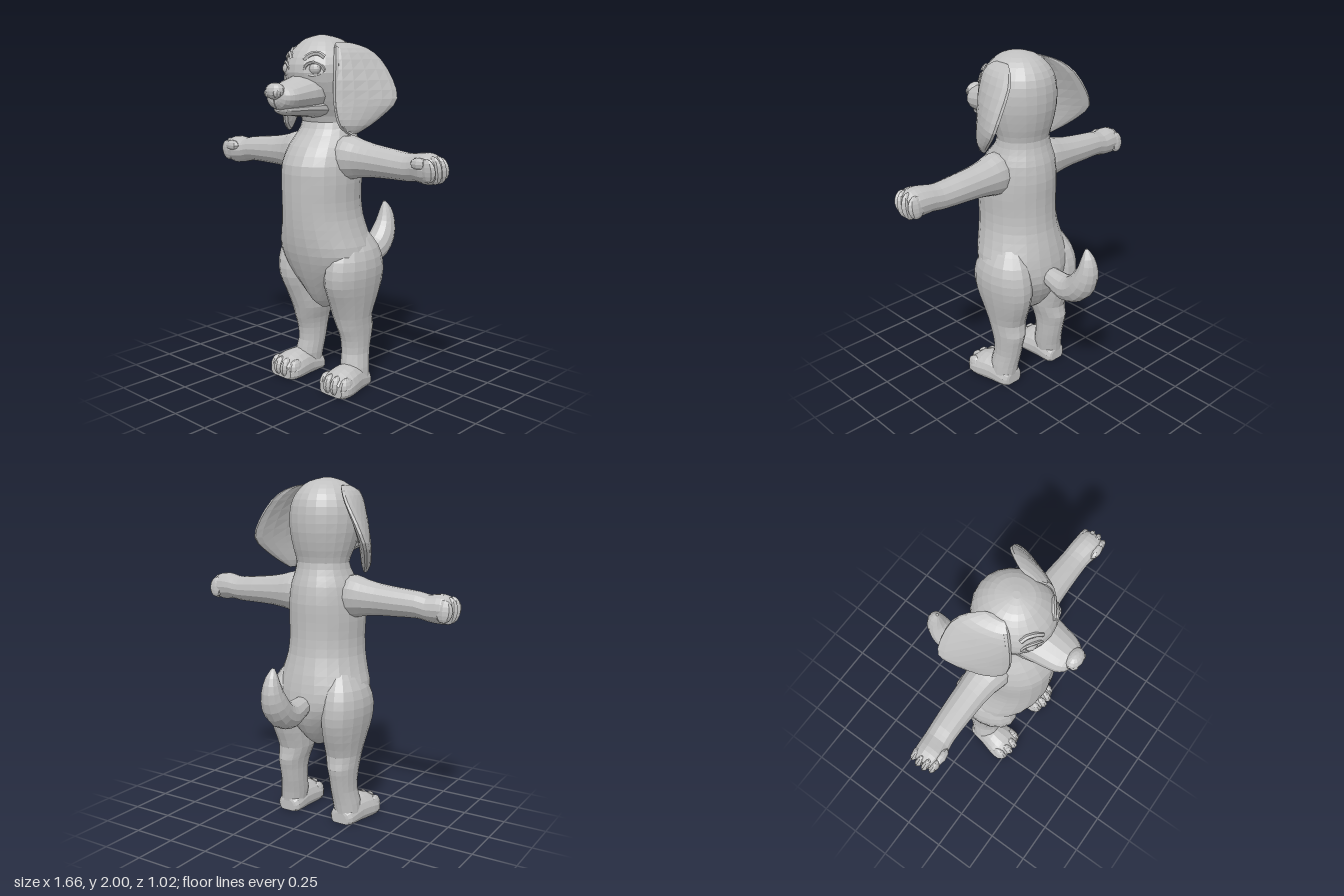
import * as THREE from 'three';

const V = (x, y, z) => new THREE.Vector3(x, y, z);
const SIDES = [['left', 1], ['right', -1]];

// Catmull-Rom subdivision of number rows
function smooth(rows, n) {
  const out = [];
  for (let i = 0; i < rows.length - 1; i++) {
    const [a, b, c, d] = [-1, 0, 1, 2].map(k => rows[Math.min(rows.length - 1, Math.max(0, i + k))]);
    for (let s = 0; s < n; s++) {
      const t = s / n;
      out.push(b.map((_, k) => b[k] + 0.5 * t * (c[k] - a[k] + t * (2 * a[k] - 5 * b[k] + 4 * c[k] - d[k]
        + t * (3 * (b[k] - c[k]) + d[k] - a[k])))));
    }
  }
  out.push(rows[rows.length - 1]);
  return out;
}

// Facet a geometry
function flat(g) {
  const f = g.index ? g.toNonIndexed() : g;
  f.computeVertexNormals();
  return f;
}

// Skin over elliptical sections [centre, u axis, v axis]; side = -1 mirrors in x
function loft(sections, { seg = 16, n = 2, side = 1, floor = false } = {}) {
  const rows = smooth(sections.map(s => s.flatMap(v => v.toArray())), n);
  const secs = rows.map(r => [0, 3, 6].map(k => V(r[k] * side, r[k + 1], r[k + 2])));
  const dir = secs[1][0].clone().sub(secs[0][0]);
  const flip = secs[0][1].clone().cross(secs[0][2]).dot(dir) < 0 ? -1 : 1;
  const pos = [], idx = [];
  const put = p => pos.push(p.x, floor ? Math.max(0, p.y) : p.y, p.z);
  for (const [c, u, v] of secs) {
    for (let j = 0; j < seg; j++) {
      const a = (j + 0.5) / seg * Math.PI * 2;
      put(c.clone().addScaledVector(u, Math.cos(a)).addScaledVector(v, flip * Math.sin(a)));
    }
  }
  const first = pos.length / 3, top = (secs.length - 1) * seg;
  put(secs[0][0]);
  put(secs[secs.length - 1][0]);
  for (let j = 0; j < seg; j++) {
    const k = (j + 1) % seg;
    for (let i = 0; i < top; i += seg) idx.push(i + j, i + k, i + seg + k, i + j, i + seg + k, i + seg + j);
    idx.push(first, k, j, first + 1, top + j, top + k);
  }
  const g = new THREE.BufferGeometry();
  g.setAttribute('position', new THREE.Float32BufferAttribute(pos, 3));
  g.setIndex(idx);
  return flat(g);
}

// Section makers: upright parts, parts along z, parts along x
const upright = ([y, x, hw, zf, zb]) => [V(x, y, (zf + zb) / 2), V(hw, 0, 0), V(0, 0, (zf - zb) / 2)];
const alongZ = ([z, x, hw, y0, y1]) => [V(x, (y0 + y1) / 2, z), V(hw, 0, 0), V(0, (y1 - y0) / 2, 0)];
const alongX = ([x, y, hy, z, hz]) => [V(x, y, z), V(0, hy, 0), V(0, 0, hz)];

export function createModel() {
  const model = new THREE.Group();
  model.name = 'standingPuppy';
  const grey = new THREE.MeshStandardMaterial({ color: 0xc0c0c0 });
  grey.name = 'softGrey';

  const add = (name, geometry) => {
    const m = new THREE.Mesh(geometry, grey);
    m.name = name;
    model.add(m);
    return m;
  };
  const ball = (name, p, r, w = 12, h = 8) => {
    const m = add(name, flat(new THREE.SphereGeometry(1, w, h)));
    m.position.set(...p);
    m.scale.set(...r);
    return m;
  };
  const cord = (name, pts, r, n = 10) =>
    add(name, flat(new THREE.TubeGeometry(new THREE.CatmullRomCurve3(pts.map(p => V(...p))), n, r, 6)));

  // Torso, neck and skull in one skin: y, x, half width, front z, back z
  add('torsoAndHead', loft([
    [0.45, 0, 0.03, 0.12, 0.0], [0.50, 0, 0.08, 0.18, -0.07], [0.60, 0, 0.16, 0.24, -0.14],
    [0.70, 0, 0.25, 0.285, -0.175], [0.80, 0, 0.285, 0.32, -0.17], [0.90, 0, 0.255, 0.34, -0.15],
    [1.00, 0, 0.227, 0.35, -0.125], [1.10, 0, 0.218, 0.355, -0.115], [1.20, 0, 0.222, 0.356, -0.115],
    [1.30, 0, 0.218, 0.35, -0.118], [1.40, 0, 0.20, 0.295, -0.105], [1.46, 0, 0.175, 0.24, -0.085],
    [1.53, 0, 0.158, 0.20, -0.07], [1.60, 0, 0.178, 0.235, -0.09], [1.70, 0, 0.203, 0.29, -0.112],
    [1.80, 0, 0.21, 0.325, -0.115], [1.88, 0, 0.19, 0.305, -0.098], [1.94, 0, 0.148, 0.255, -0.055],
    [1.98, 0, 0.095, 0.205, 0.005], [2.00, 0, 0.02, 0.135, 0.09],
  ].map(upright), { seg: 22 }));

  // Muzzle and lower jaw: z, x, half width, bottom y, top y
  add('muzzle', loft([
    [0.15, 0, 0.13, 1.59, 1.80], [0.25, 0, 0.135, 1.59, 1.80], [0.31, 0, 0.125, 1.592, 1.785],
    [0.37, 0, 0.114, 1.596, 1.765], [0.42, 0, 0.102, 1.602, 1.748], [0.46, 0, 0.075, 1.615, 1.735],
    [0.478, 0, 0.035, 1.645, 1.715],
  ].map(alongZ)));
  add('lowerJaw', loft([
    [0.12, 0, 0.13, 1.54, 1.68], [0.24, 0, 0.12, 1.56, 1.67], [0.32, 0, 0.098, 1.568, 1.66],
    [0.39, 0, 0.078, 1.573, 1.65], [0.43, 0, 0.055, 1.585, 1.64], [0.445, 0, 0.02, 1.60, 1.625],
  ].map(alongZ)));
  ball('nose', [0, 1.708, 0.468], [0.062, 0.045, 0.045]);
  cord('lipCleft', [[0, 1.67, 0.48], [0, 1.645, 0.475], [0, 1.62, 0.462]], 0.005, 4);

  // Tail, curling upward: z, y, radius
  const tail = [
    [-0.10, 0.735, 0.05], [-0.20, 0.715, 0.062], [-0.29, 0.70, 0.076], [-0.37, 0.73, 0.08],
    [-0.425, 0.795, 0.077], [-0.452, 0.875, 0.06], [-0.45, 0.95, 0.037], [-0.437, 1.0, 0.008],
  ];
  add('tail', loft(tail.map(([z, y, r], i) => {
    const a = tail[Math.max(0, i - 1)], b = tail[Math.min(tail.length - 1, i + 1)];
    const t = V(0, b[1] - a[1], b[0] - a[0]).normalize();
    return [V(0, y, z), V(r, 0, 0), V(0, -t.z, t.y).multiplyScalar(r)];
  }), { seg: 12 }));

  for (const [tag, s] of SIDES) {
    // Ear: y, front edge x and z, back edge x and z, half thickness
    const ear = [
      [1.957, 0.13, 0.14, 0.14, 0.03, 0.01], [1.93, 0.155, 0.18, 0.19, -0.04, 0.028],
      [1.87, 0.175, 0.203, 0.245, -0.095, 0.035], [1.76, 0.185, 0.217, 0.318, -0.115, 0.038],
      [1.66, 0.188, 0.22, 0.36, -0.105, 0.036], [1.59, 0.196, 0.217, 0.34, -0.045, 0.033],
      [1.52, 0.21, 0.20, 0.295, 0.04, 0.027], [1.478, 0.235, 0.15, 0.255, 0.10, 0.01],
    ];
    add(tag + 'Ear', loft(ear.map(([y, xf, zf, xb, zb, t]) => {
      const f = V(xf, y, zf), b = V(xb, y, zb), u = f.clone().sub(b).multiplyScalar(0.5);
      return [f.add(b).multiplyScalar(0.5), u, V(-u.z, 0, u.x).normalize().multiplyScalar(t)];
    }), { seg: 14, side: s }));
    cord(tag + 'EarRim', ear.slice(1).map(([y, x, z]) => [s * (x + 0.004), y, z - 0.014]), 0.016, 14);

    // Eye with lids and brow
    ball(tag + 'Eye', [s * 0.1, 1.82, 0.272], [0.04, 0.034, 0.032]);
    cord(tag + 'UpperLid', [[s * 0.052, 1.808, 0.306], [s * 0.072, 1.843, 0.306], [s * 0.105, 1.855, 0.288],
      [s * 0.136, 1.84, 0.262], [s * 0.15, 1.812, 0.25]], 0.009);
    cord(tag + 'LowerLid', [[s * 0.052, 1.808, 0.306], [s * 0.09, 1.785, 0.295], [s * 0.128, 1.79, 0.268],
      [s * 0.15, 1.812, 0.25]], 0.006);
    cord(tag + 'Brow', [[s * 0.045, 1.868, 0.298], [s * 0.075, 1.895, 0.278], [s * 0.11, 1.9, 0.253],
      [s * 0.14, 1.88, 0.238]], 0.014);
    ball(tag + 'NostrilWing', [s * 0.032, 1.698, 0.485], [0.025, 0.024, 0.025], 8, 6);

    // Arm: x, y, half height, z, half depth
    const dy = s * 0.01;
    add(tag + 'Arm', loft([
      [0.10, 1.34, 0.115, 0.10, 0.11], [0.20, 1.34, 0.122, 0.095, 0.11], [0.27, 1.338, 0.105, 0.088, 0.098],
      [0.36, 1.335, 0.09, 0.085, 0.088], [0.48, 1.33, 0.081, 0.085, 0.082], [0.60, 1.325, 0.074, 0.088, 0.076],
      [0.66, 1.322 + dy, 0.074, 0.092, 0.077], [0.72, 1.322 + dy, 0.082, 0.10, 0.082],
      [0.77, 1.32 + dy, 0.076, 0.10, 0.076], [0.80, 1.32 + dy, 0.05, 0.10, 0.055],
    ].map(alongX), { seg: 14, side: s }));
    for (let i = 0; i < 4; i++) {
      const end = i === 0 || i === 3;
      ball(tag + 'Finger' + (i + 1), [s * (end ? 0.768 : 0.78), 1.318 + dy, 0.042 + i * 0.039],
        [0.05, end ? 0.062 : 0.074, 0.024], 8, 8).rotation.x = 0.15;
    }
    ball(tag + 'Thumb', [s * 0.72, 1.35 + dy, 0.165], [0.055, 0.032, 0.028], 8, 6);

    // Leg: y, x, half width, front z, back z
    add(tag + 'Leg', loft([
      [0.92, 0.16, 0.06, 0.14, -0.06], [0.82, 0.175, 0.115, 0.22, -0.13], [0.72, 0.182, 0.132, 0.255, -0.16],
      [0.62, 0.18, 0.126, 0.253, -0.16], [0.52, 0.172, 0.115, 0.21, -0.13], [0.42, 0.165, 0.101, 0.168, -0.092],
      [0.345, 0.172, 0.086, 0.145, -0.103], [0.28, 0.175, 0.078, 0.122, -0.088], [0.20, 0.176, 0.075, 0.115, -0.07],
      [0.12, 0.185, 0.08, 0.13, -0.052], [0.03, 0.195, 0.078, 0.12, -0.04],
    ].map(upright), { seg: 16, side: s }));

    // Foot with a flat sole: z, x, half width, bottom y, top y
    add(tag + 'Foot', loft([
      [-0.042, 0.185, 0.045, -0.02, 0.07], [-0.02, 0.187, 0.075, -0.04, 0.10], [0.08, 0.195, 0.09, -0.05, 0.145],
      [0.17, 0.202, 0.108, -0.05, 0.14], [0.23, 0.203, 0.11, -0.04, 0.115], [0.265, 0.203, 0.085, -0.02, 0.085],
    ].map(alongZ), { seg: 16, side: s, floor: true }));
    for (let i = 0; i < 4; i++) {
      const end = i === 0 || i === 3;
      ball(tag + 'Toe' + (i + 1), [s * (0.128 + i * 0.05), 0.058, end ? 0.213 : 0.235],
        [0.031, end ? 0.053 : 0.058, 0.055], 10, 8);
    }
  }
  return model;
}
